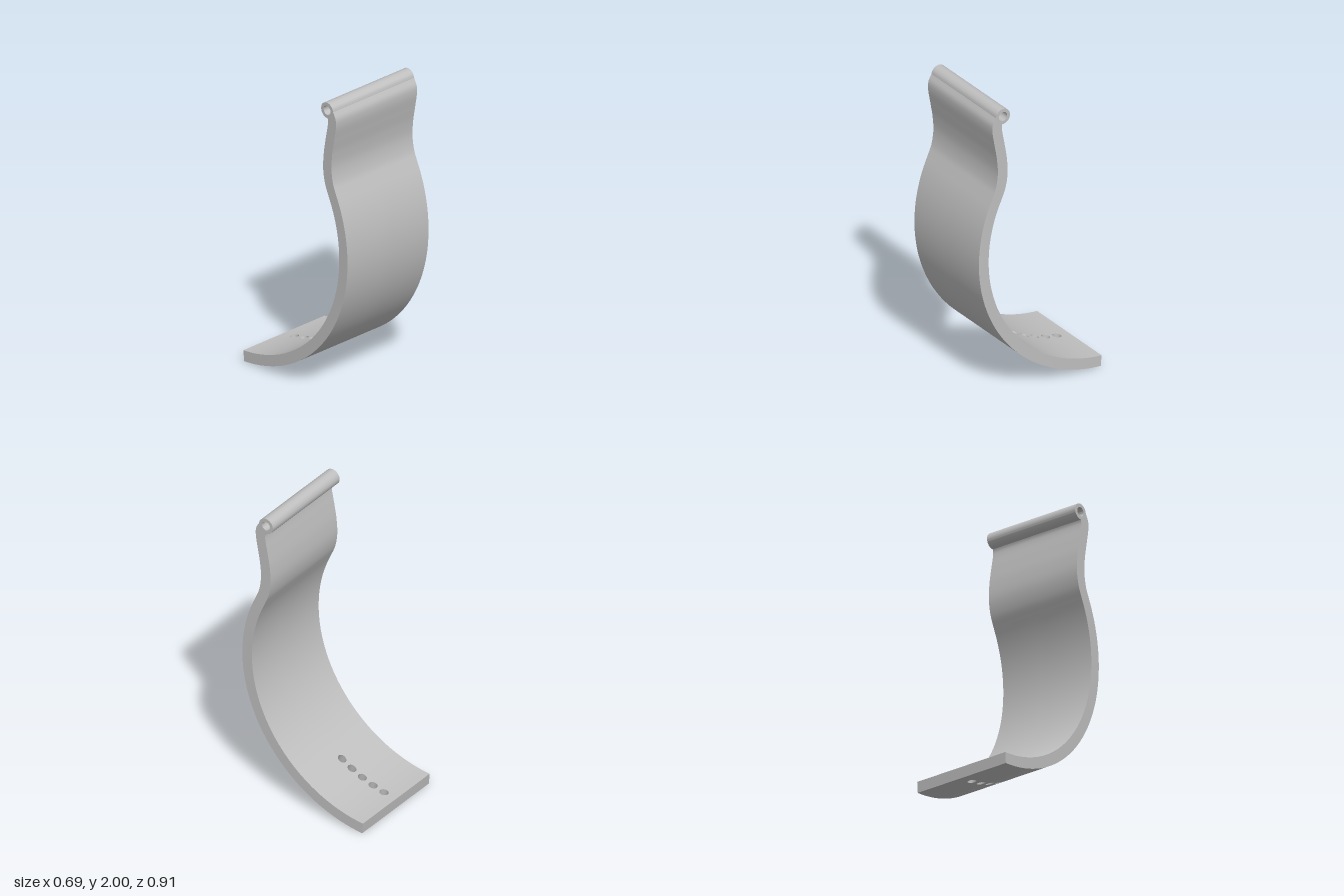
import * as THREE from 'three';
import { mergeGeometries, mergeVertices, toCreasedNormals } from 'three/addons/utils/BufferGeometryUtils.js';

const W = 0.343;                         // half width
const CZ = -0.52, CY = 0.972;            // centre of the big bend
const R_OUT = 0.975, R_IN = 0.903;
const A0 = 0.075, A1 = 2.02;             // bend start and end angles
const HOLE_R = 0.0285, STEP = 0.094, TILE = 0.044;
const HOLES = [0, 1, 2, 3, 4].map((i) => 0.178 + STEP * i);
const H0 = HOLES[0] - STEP / 2, H1 = HOLES[4] + STEP / 2;

// Side profile as (z, y): an arc continued by a reverse-curved neck
const arc = (r, a) => [CZ + r * Math.sin(a), CY - r * Math.cos(a)];
const neck = (pts) => new THREE.CatmullRomCurve3(pts.map(([z, y]) => new THREE.Vector3(0, y, z)));
const neckOut = neck([arc(R_OUT, A1), [0.33, 1.465], [0.315, 1.56], [0.321, 1.66],
  [0.338, 1.76], [0.354, 1.86], [0.351, 1.91], [0.328, 1.955]]);
const neckIn = neck([arc(R_IN, A1), [0.26, 1.445], [0.243, 1.54], [0.248, 1.65],
  [0.266, 1.76], [0.283, 1.85], [0.285, 1.88], [0.28, 1.902]]);

// Point on the strip: x across, u along, t through the thickness (0 outer, 1 inner)
function at(x, u, t) {
  if (u <= A1) {
    const [z, y] = arc(R_OUT + (R_IN - R_OUT) * t, u);
    return [x, y, z];
  }
  const k = Math.min(u - A1, 1);
  const p = neckOut.getPoint(k).lerp(neckIn.getPoint(k), t);
  return [x, p.y, p.z];
}

// Grid of points fn(a, b); its normal follows da x db unless flipped
function patch(fn, as, bs, flip = false) {
  const pos = [], idx = [], n = bs.length;
  for (const a of as) for (const b of bs) pos.push(...fn(a, b));
  for (let i = 0; i < as.length - 1; i++) {
    for (let j = 0; j < n - 1; j++) {
      const p = i * n + j, q = p + n;
      if (flip) idx.push(p, p + 1, q, q, p + 1, q + 1);
      else idx.push(p, q, p + 1, q, q + 1, p + 1);
    }
  }
  const g = new THREE.BufferGeometry();
  g.setAttribute('position', new THREE.Float32BufferAttribute(pos, 3));
  g.setIndex(idx);
  return g;
}

function weld(parts) {
  const g = mergeVertices(mergeGeometries(parts), 1e-5);
  g.computeVertexNormals();
  return g;
}

const range = (a, b, n) => Array.from({ length: n + 1 }, (_, i) => a + ((b - a) * i) / n);

export function createModel() {
  const group = new THREE.Group();
  const grey = new THREE.MeshStandardMaterial({ color: 0xbfbfbf });
  grey.name = 'plain grey';
  const add = (name, geometry) => {
    const mesh = new THREE.Mesh(geometry, grey);
    mesh.name = name;
    group.add(mesh);
  };

  // Rows along the strip, matched to the rings around the holes
  const low = range(A0, H0, 2);
  const mid = HOLES.flatMap((h) => range(-4, 3, 7).map((k) => h + (STEP / 2) * Math.tan((k * Math.PI) / 16)));
  const high = [...range(H1, A1, 40), ...range(A1, A1 + 1, 48).slice(1)];
  const rows = [...low.slice(0, -1), ...mid, ...high];
  const angles = range(0, Math.PI * 2, 32);

  // Point between a hole's rim (k = 0) and its square tile (k = 1)
  const ringPoint = (h, k, a, t) => {
    const c = Math.cos(a), s = Math.sin(a), m = Math.max(Math.abs(c), Math.abs(s));
    const r = R_OUT + (R_IN - R_OUT) * t;
    return at(
      THREE.MathUtils.lerp(HOLE_R * c, (TILE * c) / m, k),
      h + THREE.MathUtils.lerp((HOLE_R / r) * s, ((STEP / 2) * s) / m, k), t);
  };

  // Broad faces of the strip
  for (const [name, t] of [['outerFace', 0], ['innerFace', 1]]) {
    const flip = t === 1;
    const f = (x, u) => at(x, u, t);
    add(name, weld([
      patch(f, [-W, -TILE], rows, flip),
      patch(f, [TILE, W], rows, flip),
      patch(f, [-TILE, TILE], low, flip),
      patch(f, [-TILE, TILE], high, flip),
      ...HOLES.map((h) => patch((k, a) => ringPoint(h, k, a, t), [0, 0.5, 1], angles, flip)),
    ]));
  }

  // Bores of the adjustment holes
  add('adjustmentHoles', weld(HOLES.map((h) => patch((a, t) => ringPoint(h, 0, a, t), angles, [0, 1]))));

  // Side edges and the square-cut lower end
  add('leftEdge', weld([patch((t, u) => at(W, u, t), [0, 1], rows)]));
  add('rightEdge', weld([patch((t, u) => at(-W, u, t), [0, 1], rows, true)]));
  add('lowerEnd', weld([patch((x, t) => at(x, A0, t), [-W, W], [0, 1], true)]));

  // Hollow hinge barrel along the top
  const ring = new THREE.Shape().absarc(0, 0, 0.052, 0, Math.PI * 2);
  ring.holes.push(new THREE.Path().absarc(0, 0, 0.03, 0, Math.PI * 2, true));
  const barrel = new THREE.ExtrudeGeometry(ring, { depth: 2 * W, bevelEnabled: false, curveSegments: 40 });
  barrel.translate(0, 0, -W).rotateY(Math.PI / 2).translate(0, 1.948, 0.277);
  add('hingeBarrel', toCreasedNormals(barrel, 0.6));

  return group;
}
